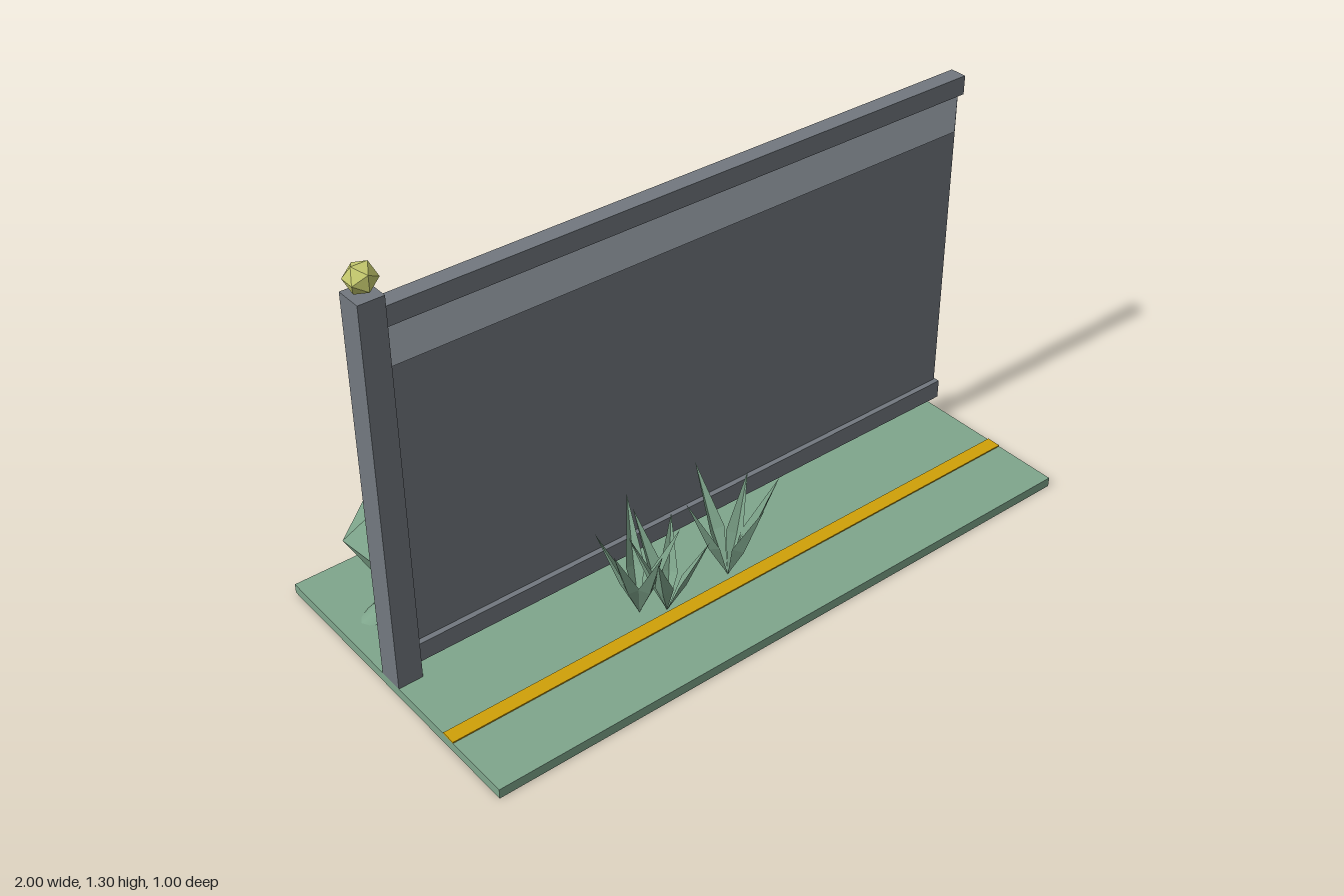
import * as THREE from 'three';

const paint = (name, color, side = THREE.FrontSide, flatShading = false) => {
  const m = new THREE.MeshStandardMaterial({ color, side, flatShading });
  m.name = name;
  return m;
};

export function createModel() {
  const model = new THREE.Group();
  model.name = 'gardenWall';
  const green = paint('leafGreen', 0x7fa68c, THREE.DoubleSide);
  const grey = paint('wallGrey', 0x72787f);
  const pale = paint('paleGrey', 0xb2bac4);
  const amber = paint('amber', 0xd0a008);
  const brass = paint('paleBrass', 0xc6ca6e);

  const add = (name, geo, mat, x = 0, y = 0, z = 0, parent = model) => {
    const mesh = new THREE.Mesh(geo, mat);
    mesh.name = name;
    mesh.position.set(x, y, z);
    parent.add(mesh);
    return mesh;
  };
  // Box given by its limits on each axis
  const box = (name, mat, x0, x1, y0, y1, z0, z1) =>
    add(name, new THREE.BoxGeometry(x1 - x0, y1 - y0, z1 - z0), mat,
      (x0 + x1) / 2, (y0 + y1) / 2, (z0 + z1) / 2);

  // Ground and painted line
  box('ground', green, -1, 1, 0, 0.03, -0.5, 0.5);
  box('groundLine', amber, -1, 1, 0.03, 0.034, 0.25, 0.295);

  // Wall with rails, band on both faces, end post and finial
  box('wallPanel', grey, -0.925, 0.995, 0.13, 1.125, -0.009, 0.009);
  box('topRail', grey, -0.925, 1, 1.122, 1.18, -0.026, 0.026);
  box('bottomRail', grey, -0.925, 1, 0.07, 0.13, -0.026, 0.026);
  for (const s of [-1, 1]) {
    const z = s * 0.011;
    box(s > 0 ? 'frontBand' : 'backBand', pale, -0.92, 0.99, 1.0, 1.12, z - 0.002, z + 0.002);
  }
  box('post', grey, -1, -0.925, 0.03, 1.22, -0.04, 0.04);
  add('finial', new THREE.IcosahedronGeometry(0.044, 0), brass, -0.962, 1.263, 0);

  // Long planting mound behind the wall
  const profile = [[1, 0], [0.89, 0.04], [0.75, 0.08], [0.57, 0.115], [0.3, 0.145], [0, 0.155]]
    .map(([r, y]) => new THREE.Vector2(r, y));
  const mound = add('mound', new THREE.LatheGeometry(profile, 40), green, 0, 0.03, -0.243);
  mound.scale.set(0.94, 1, 0.135);

  // Row of faceted shrubs: x, centre height, radius, yaw
  [
    [-0.755, 0.25, 0.184, 0.1],
    [-0.378, 0.285, 0.182, -0.15],
    [0, 0.285, 0.182, 0.05],
    [0.373, 0.308, 0.19, 0.12],
    [0.752, 0.247, 0.184, -0.08],
  ].forEach(([x, y, r, yaw], i) => {
    const shrub = add('shrub' + (i + 1), new THREE.IcosahedronGeometry(r, 0), green, x, y, -0.255);
    shrub.scale.y = 0.86;
    shrub.rotation.y = yaw;
  });

  // Folded leaf blade leaning out along +x
  const leaf = (reach, height) => {
    const base = [0, 0, 0], tip = [reach, height, 0];
    const left = [reach * 0.32, height * 0.42, 0.026];
    const right = [reach * 0.32, height * 0.42, -0.026];
    const ridge = [reach * 0.46, height * 0.38, 0];
    const faces = [base, ridge, left, left, ridge, tip, base, right, ridge, right, tip, ridge];
    const geo = new THREE.BufferGeometry();
    geo.setAttribute('position', new THREE.Float32BufferAttribute(faces.flat(), 3));
    geo.computeVertexNormals();
    return geo;
  };

  // Spiky plants: base x, base z, and leaf tip offsets (x, z, height)
  [
    [-0.325, 0.2, [[-0.12, 0.05, 0.29], [-0.1, -0.06, 0.29], [0.055, -0.12, 0.31], [0.12, 0.03, 0.25], [-0.02, 0.13, 0.29]]],
    [-0.26, 0.24, [[-0.1, 0.09, 0.27], [0.08, 0.085, 0.25], [0.08, -0.08, 0.25], [-0.02, -0.12, 0.29], [-0.09, -0.05, 0.27]]],
    [-0.033, 0.23, [[-0.005, -0.14, 0.315], [-0.135, -0.02, 0.305], [0.11, -0.05, 0.28], [0.13, 0.06, 0.315], [0, 0.145, 0.315]]],
  ].forEach(([x, z, tips], i) => {
    const plant = new THREE.Group();
    plant.name = 'spikyPlant' + (i + 1);
    plant.position.set(x, 0.03, z);
    model.add(plant);
    for (const [dx, dz, h] of tips) {
      const blade = add('leaf', leaf(Math.hypot(dx, dz), h), green, 0, 0, 0, plant);
      blade.rotation.y = Math.atan2(-dz, dx);
    }
  });
  return model;
}
